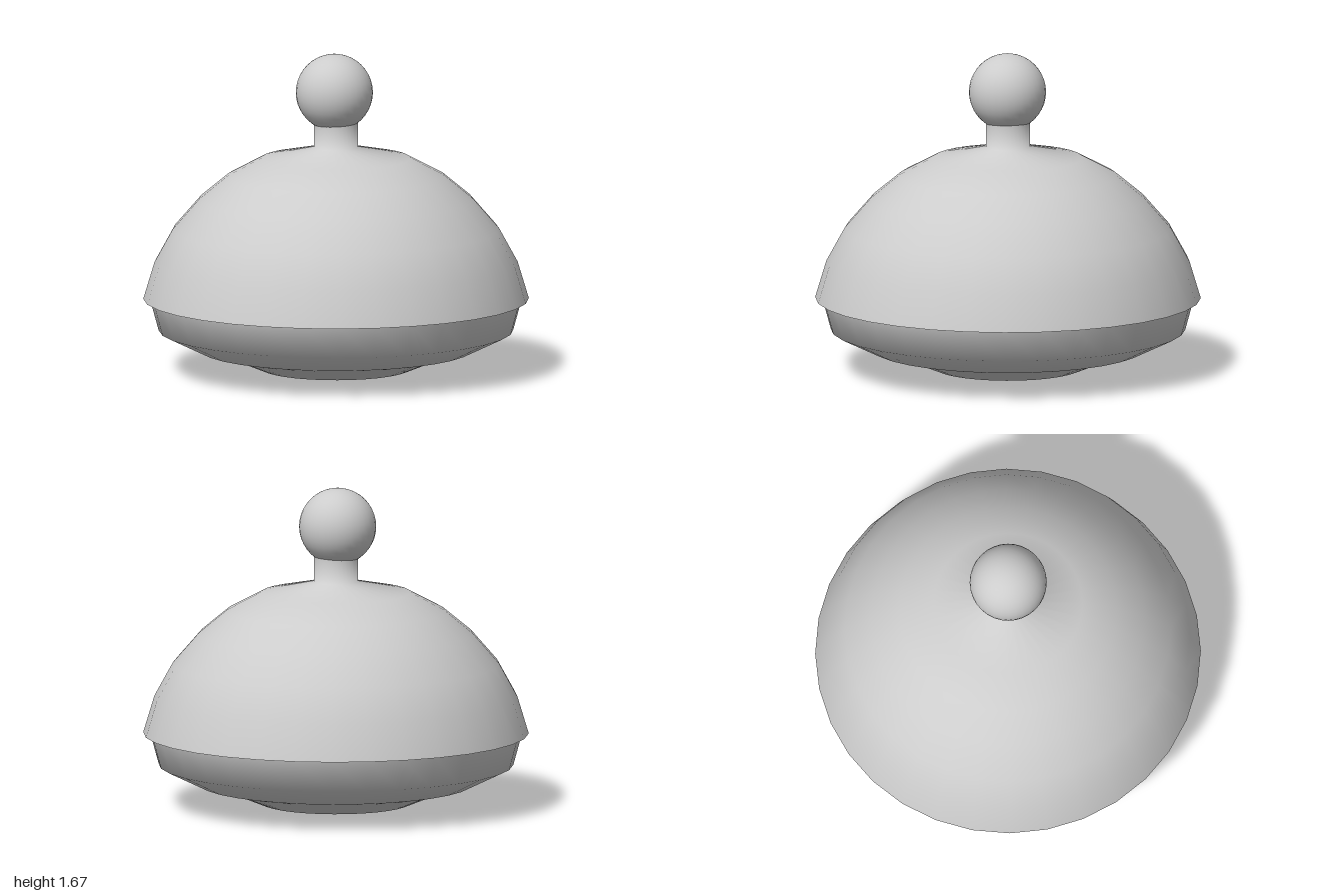
import * as THREE from 'three';

const SEGMENTS = 32;

// Revolve a bottom-to-top list of [radius, height] pairs.
function revolve(name, profile, material) {
  const points = profile.map(([r, y]) => new THREE.Vector2(r, y));
  const mesh = new THREE.Mesh(new THREE.LatheGeometry(points, SEGMENTS), material);
  mesh.name = name;
  return mesh;
}

export function createModel() {
  const group = new THREE.Group();
  group.name = 'domedDish';
  const grey = new THREE.MeshStandardMaterial({ color: 0xcccccc });
  grey.name = 'light grey';

  // Shallow dish with a stepped underside
  group.add(revolve('dish', [
    [0, 0], [0.2, 0.005], [0.385, 0.017], [0.555, 0.087],
    [0.71, 0.118], [0.92, 0.22], [0.965, 0.385],
  ], grey));

  // Flat underside of the overhanging lid edge
  group.add(revolve('lidRim', [[0.96, 0.385], [1, 0.385]], grey));

  // Lid and handle neck share one smooth surface
  group.add(revolve('lidAndNeck', [
    [1, 0.385], [0.942, 0.577], [0.847, 0.75], [0.71, 0.908],
    [0.565, 1.028], [0.387, 1.123], [0.115, 1.18], [0.115, 1.32],
  ], grey));

  // Round handle knob
  const knob = new THREE.Mesh(new THREE.SphereGeometry(0.2, 32, 20), grey);
  knob.name = 'knob';
  knob.position.set(-0.008, 1.468, -0.004);
  group.add(knob);

  return group;
}
